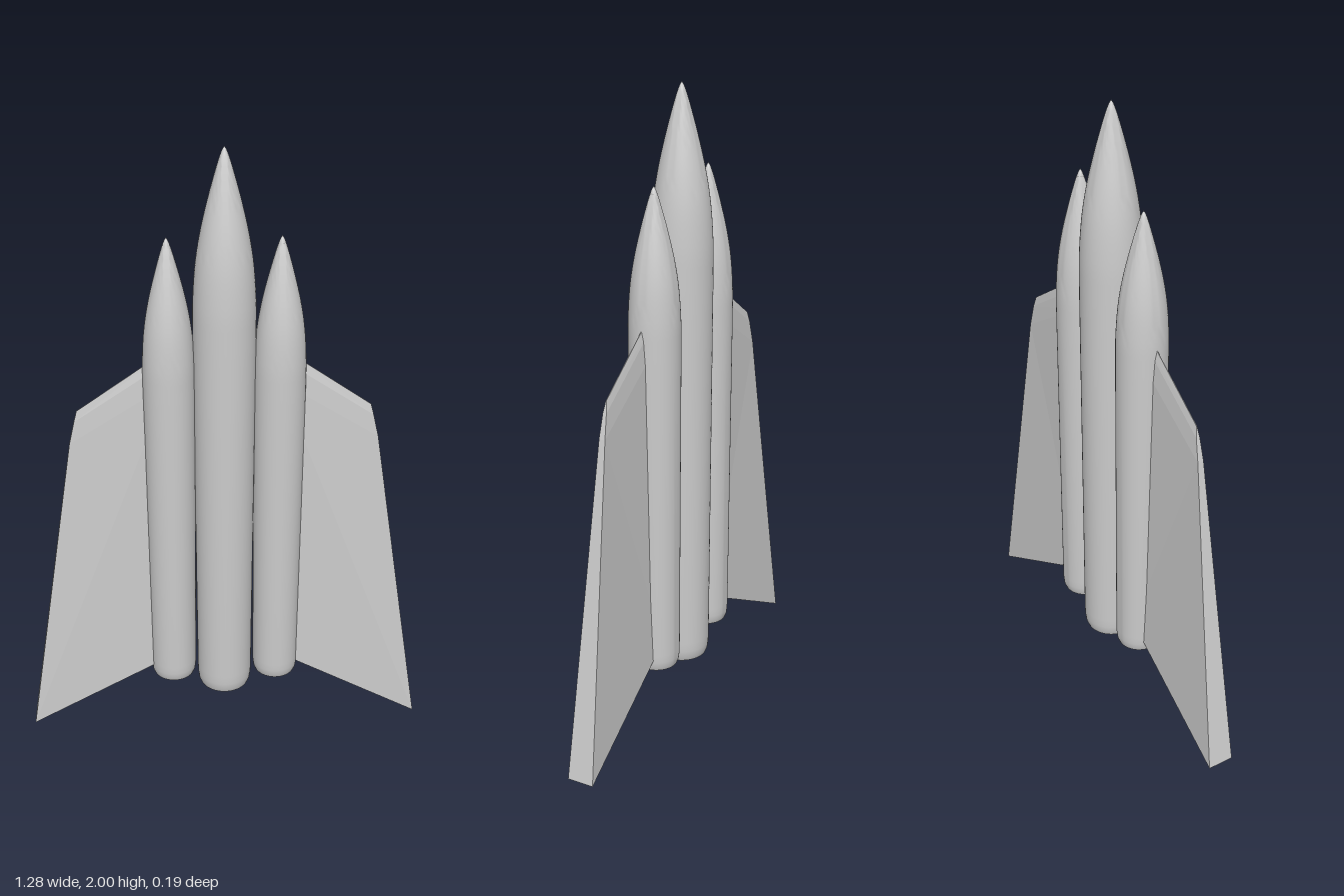
import * as THREE from 'three';
import { toCreasedNormals } from 'three/addons/utils/BufferGeometryUtils.js';

const material = new THREE.MeshStandardMaterial({ color: 0xcccccc });

// Slender body: rounded tail, slightly tapering tube, ogive nose
function makeBody(name, radius, bottom, top) {
  const nose = [[1, 0.62], [1, 0.5], [0.92, 0.37], [0.76, 0.265], [0.53, 0.165], [0.27, 0.07], [0.1, 0.018], [0, 0]];
  const k = radius / 0.095;
  const curve = new THREE.SplineCurve(nose.map(([r, d]) => new THREE.Vector2(r * radius, top - d * k)));
  const ogive = curve.getPoints(28).map((p) => new THREE.Vector2(Math.max(0, Math.min(p.x, radius)), p.y));
  ogive[ogive.length - 1].set(0, top);
  const tail = [[0, 0], [0.74, 0], [0.83, 0.004], [0.89, 0.018], [0.92, 0.04], [0.93, 0.07]]
    .map(([r, d]) => new THREE.Vector2(r * radius, bottom + d * k));
  const geometry = toCreasedNormals(new THREE.LatheGeometry([...tail, ...ogive], 48), 0.7);
  const mesh = new THREE.Mesh(geometry, material);
  mesh.name = name;
  return mesh;
}

// Swept fin: a wedge section lofted from root to tip, thickest at the trailing edge
function makeFin(name, side) {
  // each station is [x, y, half thickness], from leading to trailing edge
  const root = [[0.17, 1.37, 0.001], [0.17, 1.335, 0.008], [0.17, 1.26, 0.013], [0.17, 0.25, 0.023]];
  const tip = [[0.45, 1.17, 0.001], [0.459, 1.135, 0.006], [0.476, 1.06, 0.01], [0.64, 0, 0.043]];
  const loop = (s) => [
    ...s.map(([x, y, z]) => [x * side, y, z]),
    ...s.slice().reverse().map(([x, y, z]) => [x * side, y, -z]),
  ];
  const a = loop(root), b = loop(tip), n = a.length;
  const position = [];
  const tri = (p, q, r) => position.push(...p, ...(side > 0 ? q : r), ...(side > 0 ? r : q));
  const quad = (p, q, r, s) => { tri(p, q, r); tri(p, r, s); };
  for (let i = 0; i < n; i++) {
    const j = (i + 1) % n;
    quad(a[i], a[j], b[j], b[i]);
  }
  // end caps
  for (let i = 0; i < n / 2 - 1; i++) {
    const m = n - 1 - i;
    quad(a[i], a[m], a[m - 1], a[i + 1]);
    quad(b[i], b[i + 1], b[m - 1], b[m]);
  }
  const geometry = new THREE.BufferGeometry();
  geometry.setAttribute('position', new THREE.Float32BufferAttribute(position, 3));
  geometry.computeVertexNormals();
  const mesh = new THREE.Mesh(geometry, material);
  mesh.name = name;
  return mesh;
}

export function createModel() {
  const model = new THREE.Group();
  model.name = 'rocket';
  model.add(makeBody('coreBody', 0.095, 0.13, 2));
  for (const [label, side] of [['left', 1], ['right', -1]]) {
    const booster = makeBody(`${label}Booster`, 0.079, 0.175, 1.73);
    booster.position.x = side * 0.168;
    model.add(booster, makeFin(`${label}Fin`, side));
  }
  return model;
}
